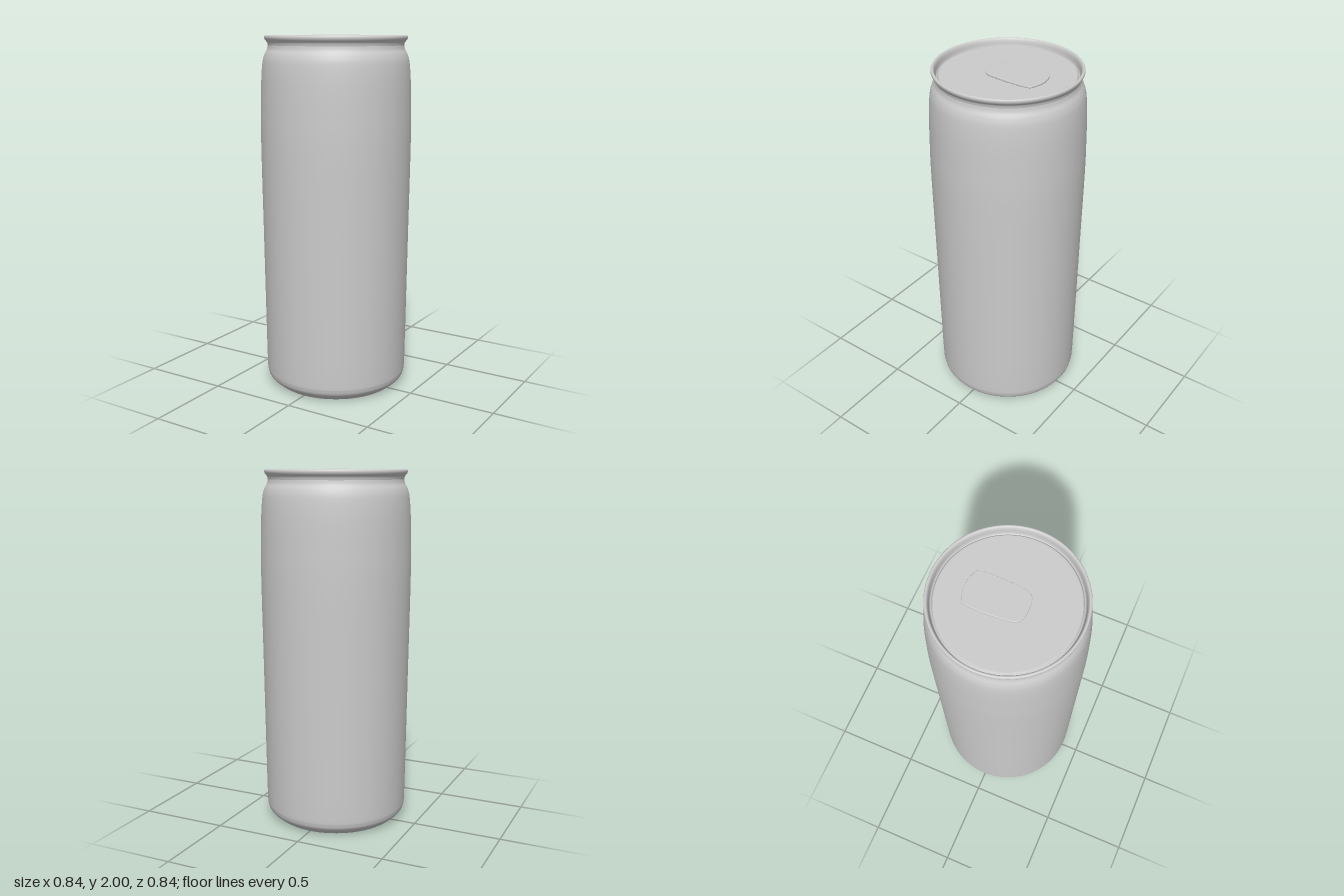
import * as THREE from 'three';

const material = new THREE.MeshStandardMaterial({ color: 0xcccccc });
const vec = ([x, y]) => new THREE.Vector2(x, y);

// Smooth surface of revolution through a few [radius, height] points
function lathe(name, points, samples) {
  const profile = new THREE.SplineCurve(points.map(vec)).getPoints(samples);
  profile.forEach((p) => { p.x = Math.max(p.x, 0); });
  const mesh = new THREE.Mesh(new THREE.LatheGeometry(profile, 96), material);
  mesh.name = name;
  return mesh;
}

// Closed outline, symmetric about x = 0, from the points of its right half;
// the first and last points lie on the axis
function symmetricOutline(half, samples = 64) {
  const mirrored = half.slice(1, -1).reverse().map(([x, y]) => [-x, y]);
  const loop = [...half, ...mirrored].map(([x, y]) => new THREE.Vector3(x, y, 0));
  return new THREE.CatmullRomCurve3(loop, true, 'centripetal')
    .getPoints(samples).slice(0, -1).map((p) => new THREE.Vector2(p.x, p.y));
}

// Pull tab: a thin rounded plate with a finger opening and a crescent around its tongue
function makePullTab() {
  const plate = new THREE.Shape(symmetricOutline([
    [0, 0.225], [0.05, 0.216], [0.088, 0.2], [0.096, 0.18], [0.101, 0.09],
    [0.097, 0.01], [0.086, -0.07], [0.065, -0.096], [0.03, -0.106], [0, -0.107],
  ], 80));
  plate.holes.push(new THREE.Path(symmetricOutline([
    [0, 0.195], [0.045, 0.189], [0.076, 0.17], [0.085, 0.14],
    [0.078, 0.108], [0.055, 0.1], [0, 0.1],
  ])));
  plate.holes.push(new THREE.Path(symmetricOutline([
    [0, 0.08], [0.035, 0.07], [0.06, 0.04], [0.067, 0.005], [0.06, -0.03],
    [0.05, -0.035], [0.04, -0.01], [0.02, 0.025], [0, 0.035],
  ])));
  const geometry = new THREE.ExtrudeGeometry(plate, {
    depth: 0.006, bevelEnabled: true, bevelThickness: 0.003,
    bevelSize: 0.004, bevelOffset: -0.004, bevelSegments: 2,
  });
  geometry.rotateX(-Math.PI / 2);
  const mesh = new THREE.Mesh(geometry, material);
  mesh.name = 'pullTab';
  mesh.position.y = 1.966;
  return mesh;
}

export function createModel() {
  const can = new THREE.Group();
  can.name = 'drinkCan';

  // Flat base
  const base = new THREE.Mesh(new THREE.CircleGeometry(0.345, 96), material);
  base.name = 'base';
  base.rotation.x = Math.PI / 2;
  can.add(base);

  // Side wall: chamfered foot, slightly swelling wall, shoulder and neck
  can.add(lathe('body', [
    [0.345, 0], [0.362, 0.012], [0.39, 0.038], [0.402, 0.065], [0.406, 0.12],
    [0.41, 0.4], [0.416, 0.9], [0.422, 1.4], [0.42, 1.6], [0.416, 1.75],
    [0.408, 1.85], [0.397, 1.895], [0.382, 1.925], [0.377, 1.947],
  ], 90));

  // Rolled rim, flaring from the neck and turning down inside
  can.add(lathe('rim', [
    [0.377, 1.947], [0.381, 1.963], [0.392, 1.977], [0.396, 1.988], [0.394, 1.997],
    [0.388, 2], [0.381, 1.997], [0.376, 1.985], [0.373, 1.965], [0.37, 1.955],
  ], 45));

  // Lid with a groove along its edge
  can.add(lathe('lid', [
    [0.37, 1.955], [0.366, 1.951], [0.362, 1.955], [0.357, 1.962],
    [0.35, 1.964], [0.3, 1.964], [0, 1.964],
  ], 40));

  can.add(makePullTab());
  return can;
}
